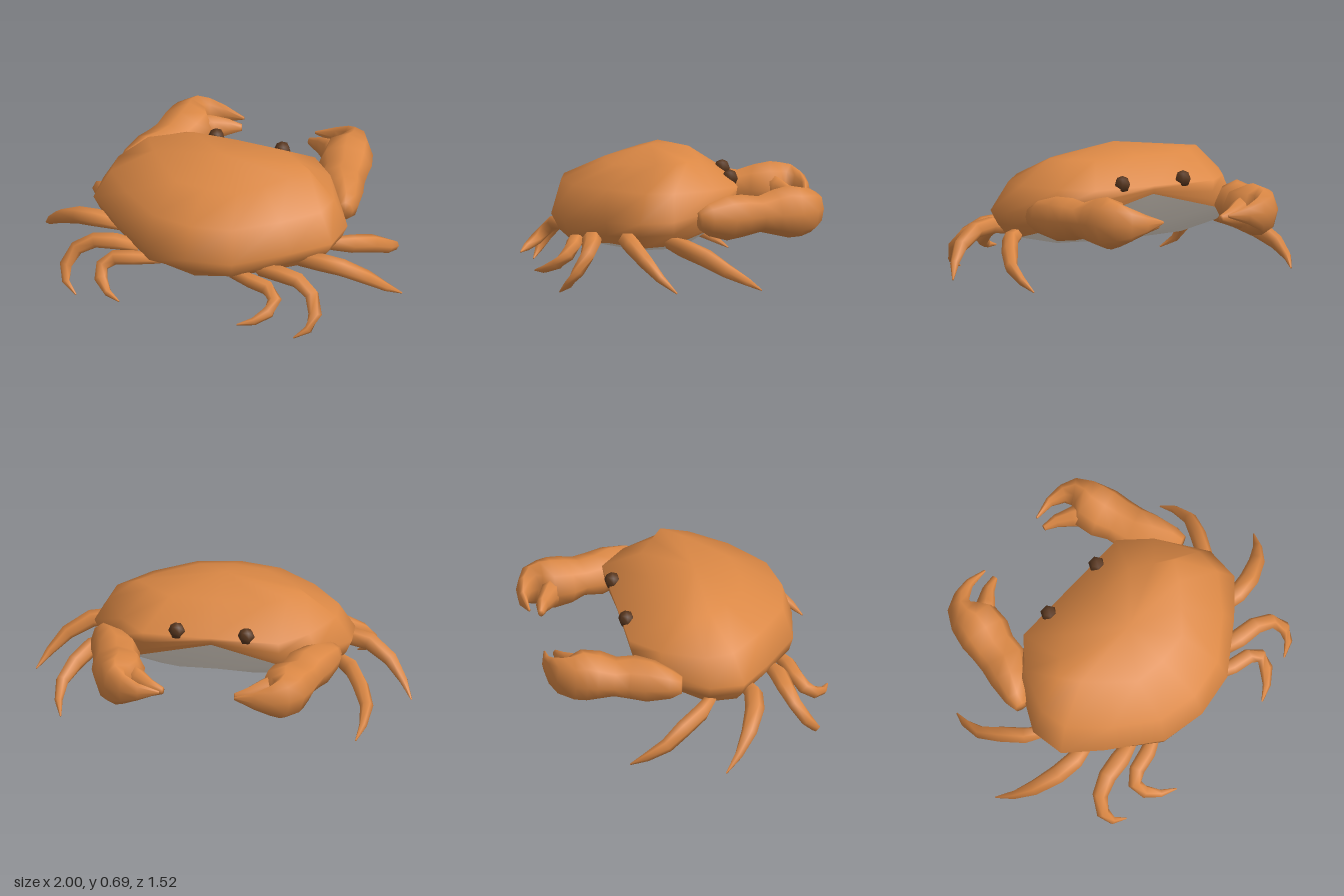
import * as THREE from 'three';
import { mergeVertices } from 'three/addons/utils/BufferGeometryUtils.js';

const V = (x, y, z) => new THREE.Vector3(x, y, z);
const orange = new THREE.MeshStandardMaterial({ color: 0xdb8845 });
const dark = new THREE.MeshStandardMaterial({ color: 0x5a3820 });
const cream = new THREE.MeshStandardMaterial({ color: 0xf0e6da });

// Skin a list of closed rings into one smooth surface
function skin(rings) {
  const n = rings[0].length, index = [];
  for (let i = 0; i < rings.length - 1; i++) {
    for (let j = 0; j < n; j++) {
      const a = i * n + j, b = i * n + (j + 1) % n;
      index.push(a, a + n, b, b, a + n, b + n);
    }
  }
  let g = new THREE.BufferGeometry().setFromPoints(rings.flat());
  g.setIndex(index);
  g = mergeVertices(g, 1e-4);
  g.computeVertexNormals();
  return g;
}

// Limb from sections [x, y, z, half width, half height], closed at both ends
function limb(sections, side, sides) {
  const c = sections.map(([x, y, z]) => V(x * side, y, z));
  const rings = c.map((p, i) => {
    const t = c[Math.min(i + 1, c.length - 1)].clone().sub(c[Math.max(i - 1, 0)]).normalize();
    const across = t.clone().cross(V(0, 1, 0)).normalize();
    const up = across.clone().cross(t);
    const [, , , w, h] = sections[i];
    return Array.from({ length: sides }, (_, j) => {
      const a = (j / sides) * Math.PI * 2;
      return p.clone().addScaledVector(across, Math.cos(a) * w).addScaledVector(up, Math.sin(a) * h);
    });
  });
  const cap = (p) => Array.from({ length: sides }, () => p.clone());
  return skin([cap(c[0]), ...rings, cap(c[c.length - 1])]);
}

// Full symmetric ring from the half running front middle to rear middle
function ring(half) {
  const left = half.map((p) => V(...p));
  const right = half.slice(1, -1).reverse().map(([x, y, z]) => V(-x, y, z));
  return [...left, ...right];
}
const point = (x, y, z) => ring(Array.from({ length: 8 }, () => [x, y, z]));

export function createModel() {
  const model = new THREE.Group();
  const add = (name, geometry, material, parent = model) => {
    const mesh = new THREE.Mesh(geometry, material);
    mesh.name = name;
    parent.add(mesh);
    return mesh;
  };

  // Body rings, bottom to top; the rim arches up at the mouth and dips at the rear
  const belly = ring([[0, 0.25, -0.15], [0.2, 0.24, -0.14], [0.31, 0.21, -0.06], [0.37, 0.185, 0.07],
    [0.36, 0.18, 0.19], [0.28, 0.185, 0.29], [0.14, 0.185, 0.38], [0, 0.175, 0.41]]);
  const rim = ring([[0, 0.465, -0.295], [0.38, 0.365, -0.28], [0.51, 0.3, -0.14], [0.6, 0.235, 0.06],
    [0.58, 0.22, 0.22], [0.43, 0.23, 0.37], [0.22, 0.21, 0.5], [0, 0.172, 0.51]]);
  const lip = ring([[0, 0.475, -0.303], [0.38, 0.4, -0.288], [0.53, 0.335, -0.165], [0.655, 0.3, 0.06],
    [0.635, 0.29, 0.235], [0.465, 0.275, 0.39], [0.23, 0.25, 0.57], [0, 0.25, 0.59]]);
  const widest = ring([[0, 0.49, -0.307], [0.36, 0.45, -0.3], [0.54, 0.41, -0.17], [0.685, 0.37, 0.06],
    [0.67, 0.36, 0.245], [0.5, 0.35, 0.4], [0.24, 0.33, 0.59], [0, 0.33, 0.632]]);
  const shoulder = ring([[0, 0.51, -0.31], [0.36, 0.51, -0.31], [0.5, 0.51, -0.17], [0.605, 0.51, 0.05],
    [0.59, 0.51, 0.2], [0.43, 0.515, 0.38], [0.22, 0.51, 0.54], [0, 0.51, 0.58]]);
  const crown = ring([[0, 0.645, -0.12], [0.25, 0.64, -0.12], [0.36, 0.643, -0.045], [0.45, 0.645, 0.02],
    [0.38, 0.633, 0.12], [0.28, 0.62, 0.225], [0.17, 0.607, 0.33], [0, 0.612, 0.35]]);
  add('shell', skin([rim, lip, widest, shoulder, crown, point(0, 0.69, 0.11)]), orange);
  add('belly', skin([point(0, 0.17, 0.08), belly, rim]), cream);

  // Walking legs, listed from the claw end to the far end
  const legs = [
    [[0.6, 0.255, 0.08, 0.03, 0.035], [0.69, 0.235, 0.01, 0.043, 0.05], [0.76, 0.19, -0.1, 0.043, 0.05],
      [0.81, 0.13, -0.2, 0.035, 0.04], [0.81, 0.07, -0.31, 0.021, 0.024], [0.785, 0.02, -0.39, 0.004, 0.004]],
    [[0.5, 0.25, 0.28, 0.035, 0.035], [0.63, 0.27, 0.3, 0.05, 0.046], [0.74, 0.255, 0.285, 0.051, 0.044],
      [0.86, 0.19, 0.23, 0.042, 0.037], [0.94, 0.11, 0.16, 0.024, 0.024], [0.998, 0.04, 0.08, 0.004, 0.004]],
    [[0.34, 0.24, 0.44, 0.035, 0.03], [0.46, 0.26, 0.47, 0.052, 0.04], [0.57, 0.25, 0.483, 0.048, 0.038],
      [0.66, 0.2, 0.515, 0.041, 0.036], [0.7, 0.12, 0.57, 0.036, 0.032], [0.68, 0.05, 0.62, 0.021, 0.022],
      [0.61, 0.004, 0.655, 0.004, 0.004]],
    [[0.2, 0.225, 0.49, 0.03, 0.03], [0.33, 0.23, 0.545, 0.043, 0.036], [0.43, 0.22, 0.565, 0.041, 0.038],
      [0.485, 0.18, 0.6, 0.037, 0.036], [0.47, 0.13, 0.655, 0.035, 0.032], [0.41, 0.095, 0.715, 0.021, 0.021],
      [0.33, 0.08, 0.755, 0.004, 0.004]],
  ];

  // Claw parts: the arm runs through a waist into the hand and its curved upper finger
  const arm = [[0.62, 0.37, -0.08, 0.04, 0.05], [0.605, 0.37, -0.13, 0.065, 0.085],
    [0.55, 0.37, -0.23, 0.105, 0.118], [0.5, 0.375, -0.32, 0.125, 0.112], [0.485, 0.38, -0.41, 0.123, 0.095],
    [0.46, 0.385, -0.49, 0.14, 0.12], [0.445, 0.385, -0.57, 0.135, 0.138], [0.455, 0.385, -0.63, 0.105, 0.13],
    [0.44, 0.39, -0.685, 0.068, 0.115], [0.39, 0.39, -0.722, 0.042, 0.088], [0.31, 0.39, -0.742, 0.024, 0.05],
    [0.2, 0.39, -0.73, 0.006, 0.008]];
  const thumb = [[0.41, 0.375, -0.55, 0.07, 0.1], [0.33, 0.375, -0.605, 0.05, 0.075],
    [0.26, 0.37, -0.65, 0.033, 0.05], [0.19, 0.37, -0.67, 0.016, 0.02]];

  for (const side of [1, -1]) {
    const label = side > 0 ? 'left' : 'right';
    legs.forEach((sections, i) => add(`${label}Leg${i + 1}`, limb(sections, side, 6), orange));

    const claw = new THREE.Group();
    claw.name = `${label}Claw`;
    model.add(claw);
    Object.entries({ arm, thumb })
      .forEach(([name, sections]) => add(name, limb(sections, side, 8), orange, claw));

    add(`${label}Eye`, new THREE.SphereGeometry(0.045, 6, 4), dark)
      .position.set(side * 0.185, 0.53, -0.29);
  }
  return model;
}
